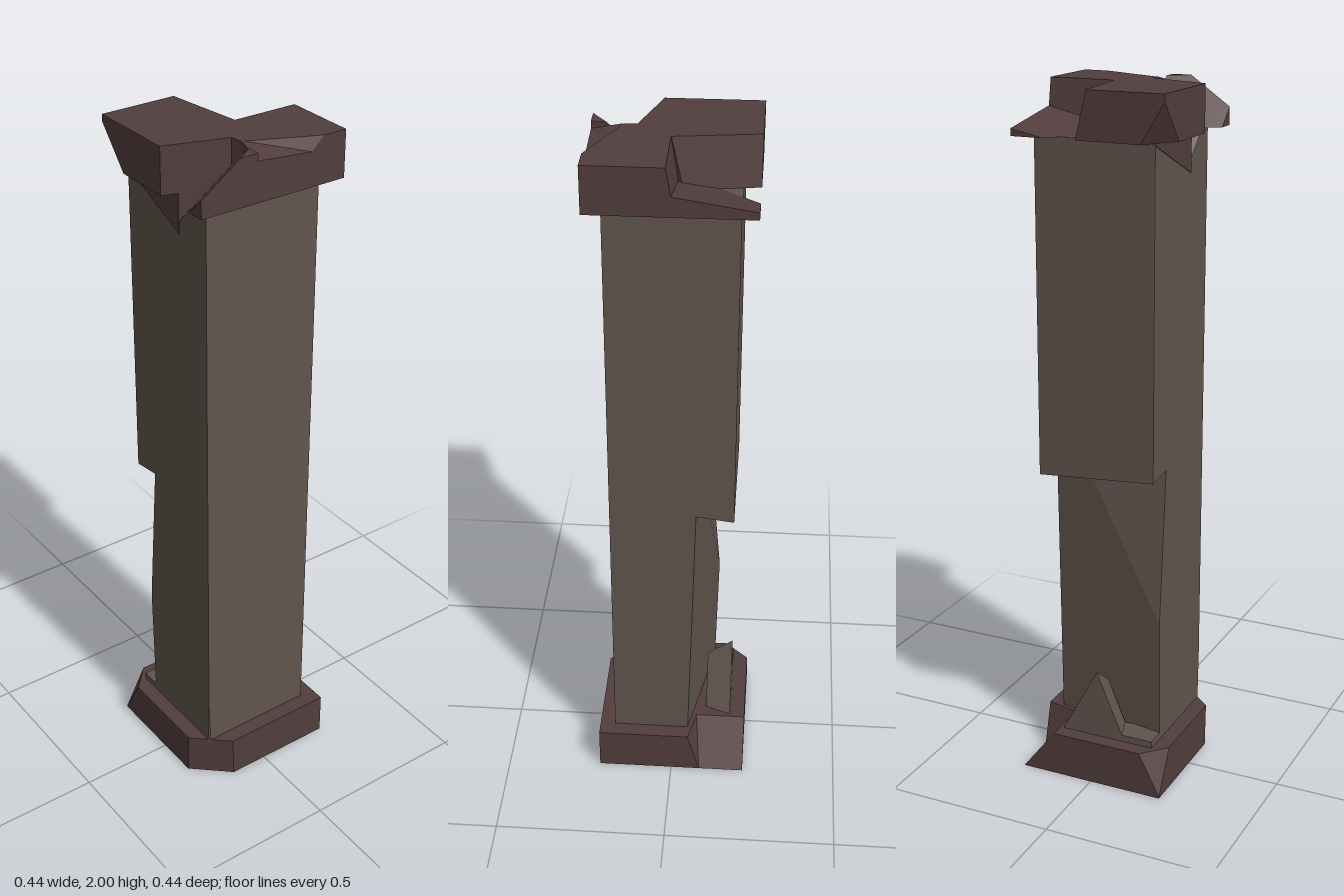
import * as THREE from 'three';
import { ConvexGeometry } from 'three/addons/geometries/ConvexGeometry.js';

const trim = new THREE.MeshStandardMaterial({ color: 0x523d3d, flatShading: true });
const stone = new THREE.MeshStandardMaterial({ color: 0x61554d, flatShading: true });
const V = (a) => new THREE.Vector3(...a);

// upright fracture through two points seen in plan
const wall = (x1, z1, x2, z2) => [[x1, 0, z1], [x2, 0, z2], [x1, 1, z1]];

// A box broken along planes (three points each); the side holding the seed point is kept.
function chunk(name, material, min, max, seed, cuts = []) {
  const planes = [];
  for (let i = 0; i < 3; i++) {
    const n = [0, 0, 0];
    n[i] = 1;
    planes.push(new THREE.Plane(V(n), -max[i]), new THREE.Plane(V(n).negate(), min[i]));
  }
  for (const c of cuts) {
    const p = new THREE.Plane().setFromCoplanarPoints(...c.map(V));
    if (p.distanceToPoint(V(seed)) > 0) p.negate();
    planes.push(p);
  }
  // corners: every meeting of three planes that lies inside all the others
  const pts = [];
  for (let i = 0; i < planes.length; i++)
    for (let j = i + 1; j < planes.length; j++)
      for (let k = j + 1; k < planes.length; k++) {
        const [a, b, c] = [planes[i], planes[j], planes[k]];
        const bc = b.normal.clone().cross(c.normal);
        const det = a.normal.dot(bc);
        if (Math.abs(det) < 1e-5) continue;
        const p = bc.multiplyScalar(-a.constant)
          .addScaledVector(c.normal.clone().cross(a.normal), -b.constant)
          .addScaledVector(a.normal.clone().cross(b.normal), -c.constant)
          .divideScalar(det);
        if (planes.every((q) => q.distanceToPoint(p) < 1e-6) &&
            pts.every((q) => q.distanceTo(p) > 1e-4)) pts.push(p);
      }
  const mesh = new THREE.Mesh(new ConvexGeometry(pts), material);
  mesh.name = name;
  return mesh;
}

export function createModel() {
  const model = new THREE.Group();
  model.name = 'brokenPillar';
  const W = 0.22, S = 0.175;

  // shared fracture planes
  const capSplit = wall(0.1, 0.045, 0.045, 0.22);
  const cornerSlope = [[0.22, 1.92, 0.22], [0.22, 2, 0.105], [0.18, 2, 0.05]];
  const waist = [[0.175, 0.978, 0], [-0.175, 0.92, -0.175], [-0.175, 0.945, 0.175]];
  const footChip = [[0.126, 0, 0.22], [0.22, 0, 0.115], [0.175, 0.28, 0.175]];
  const baseSplit = [[-0.05, 0.13, -0.22], [-0.086, 0, -0.22], [-0.15, 0.13, 0.22]];

  // cap pieces
  const cap = new THREE.Group();
  cap.name = 'cap';
  const capPiece = (name, seed, cuts) =>
    cap.add(chunk(name, trim, [-W, 1.87, -W], [W, 2, W], seed, cuts));
  capPiece('capFrontRight', [-0.05, 1.95, 0.1], [
    [[-0.22, 2, 0], [0.005, 2, -0.03], [-0.18, 1.87, -0.037]],
    wall(0.01, -0.03, 0.1, 0.045), capSplit,
    [[-0.22, 1.98, 0.22], [-0.13, 1.875, 0.22], [-0.22, 1.89, 0.165]],
  ]);
  capPiece('capBackLeft', [0.1, 1.95, -0.1], [
    [[0.01, 2, -0.22], [0.01, 2, -0.03], [-0.007, 1.9, -0.22]],
    wall(0.01, -0.03, 0.1, 0.045), wall(0.1, 0.045, 0.135, 0.04),
    [[0.22, 2, -0.15], [0.135, 2, 0.04], [0.22, 1.96, -0.11]],
  ]);
  capPiece('capLeft', [0.2, 1.9, 0.02], [
    wall(0.22, -0.15, 0.135, 0.04), wall(0.22, 0.052, 0.135, 0.04),
    [[0.22, 1.965, -0.11], [0.22, 1.98, 0.05], [0.14, 2, 0.04]],
  ]);
  capPiece('capFrontLeft', [0.21, 1.88, 0.15], [
    capSplit, wall(0.1, 0.045, 0.22, 0.052), cornerSlope,
  ]);
  capPiece('capBackRight', [-0.05, 1.875, -0.15], [
    wall(0.005, -0.22, 0.005, 0), wall(-0.22, 0, 0.005, -0.03),
    [[0, 1.925, -0.22], [-0.22, 1.89, -0.22], [-0.22, 1.87, -0.125]],
  ]);
  // wedge of the cap stone reaching down the shaft front
  cap.add(chunk('capWedge', trim, [-S, 1.7, 0.1], [0.1, 1.87, 0.177], [0, 1.84, 0.15], [
    [[-0.175, 1.862, 0], [0.06, 1.76, 0], [0.06, 1.76, 1]], capSplit,
  ]));

  // upper shaft, split so its front corner can be chipped
  const upper = (name, seed, cuts) =>
    chunk(name, stone, [-S, 0.9, -S], [S, 1.87, S], seed, [waist, ...cuts]);
  const shaft = new THREE.Group();
  shaft.name = 'shaft';
  shaft.add(
    upper('upperShaft', [-0.1, 1.4, 0], [capSplit]),
    upper('upperShaftChipped', [0.15, 1.4, 0.1], [capSplit, cornerSlope]),
  );

  // lower shaft, broken away along its right side
  shaft.add(chunk('lowerShaft', stone, [-S, 0.12, -S], [S, 1, S], [0.05, 0.5, 0], [
    waist, footChip,
    [[-0.09, 0.92, 0.175], [-0.14, 0.31, 0.175], [-0.09, 0.92, -0.06]],
    [[-0.068, 0.92, -0.175], [-0.05, 0.2, -0.175], [-0.09, 0.92, -0.06]],
  ]));
  // remaining splinter of the broken side
  shaft.add(chunk('splinter', stone, [-S, 0.1, -S], [-0.1, 0.4, S], [-0.15, 0.15, 0], [
    [[-0.175, 0.335, 0], [-0.14, 0.31, 0], [-0.175, 0.15, 0.08]],
    [[-0.175, 0.335, 0], [-0.14, 0.31, 0], [-0.175, 0.13, -0.11]],
  ]));
  shaft.add(chunk('splinterFoot', stone, [-S, 0.1, 0], [-0.1, 0.15, S], [-0.15, 0.12, 0.1]));

  // base pieces
  const base = new THREE.Group();
  base.name = 'base';
  const basePiece = (name, seed, cuts) =>
    base.add(chunk(name, trim, [-W, 0, -W], [W, 0.13, W], seed, cuts));
  basePiece('baseMain', [0.1, 0.06, 0], [baseSplit, footChip]);
  basePiece('baseBroken', [-0.19, 0.05, 0.05], [
    baseSplit,
    [[-0.22, 0, -0.22], [-0.086, 0, -0.22], [-0.2, 0.13, -0.12]],
    [[-0.22, 0.005, 0.22], [-0.15, 0.13, 0.22], [-0.22, 0.11, 0.165]],
  ]);

  model.add(cap, shaft, base);
  return model;
}
